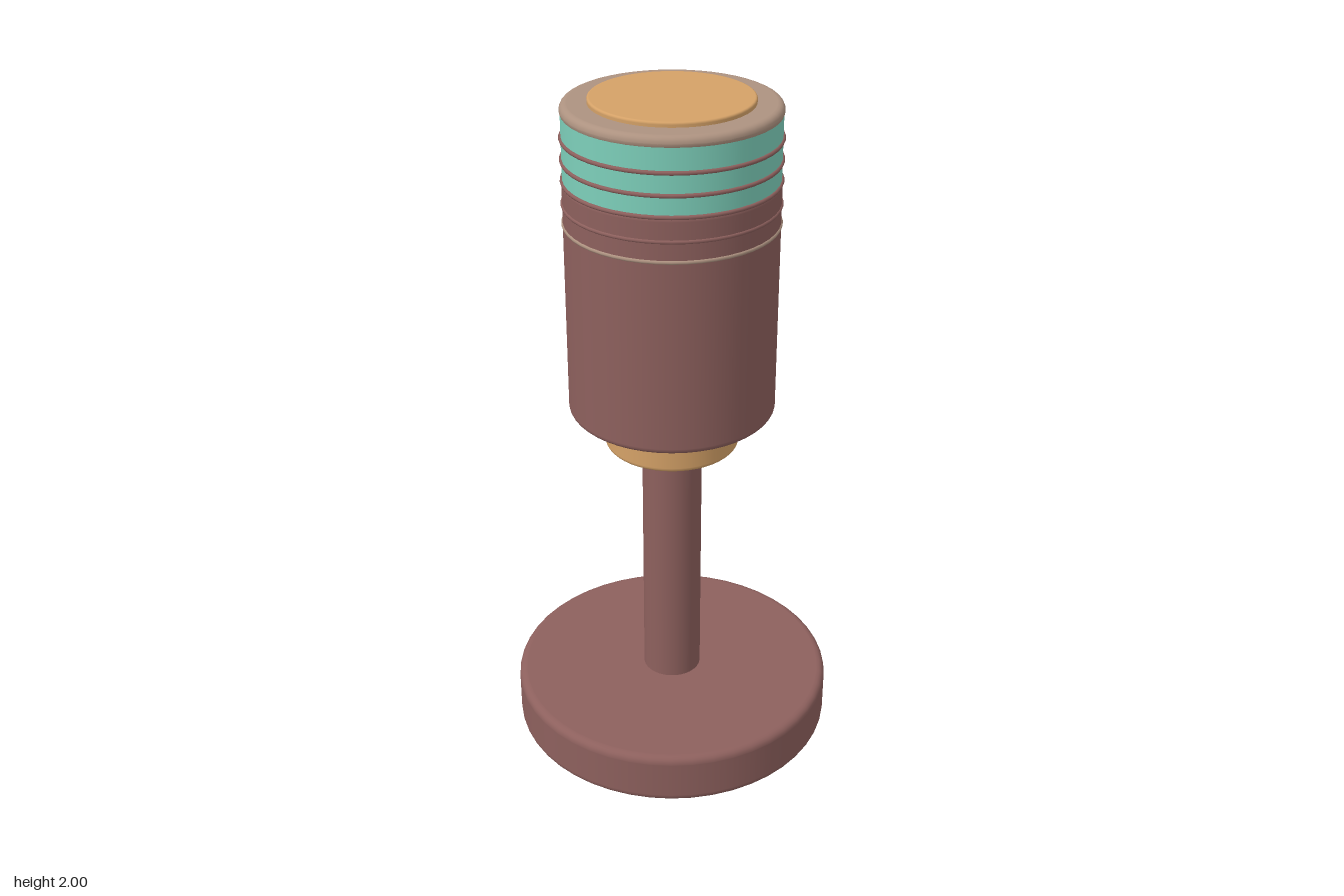
import * as THREE from 'three';

const mat = (name, color) => {
  const m = new THREE.MeshStandardMaterial({ color });
  m.name = name;
  return m;
};

// Solid disc from y0 to y1 with rounded rims
function roundedDisc(name, radius, y0, y1, bevel, material) {
  const e = bevel * 0.1, steps = 5;
  const pts = [new THREE.Vector2(0, y0), new THREE.Vector2(radius - bevel - e, y0)];
  for (const [cy, start] of [[y0 + bevel, -Math.PI / 2], [y1 - bevel, 0]]) {
    for (let i = 0; i <= steps; i++) {
      const a = start + (i / steps) * Math.PI / 2;
      pts.push(new THREE.Vector2(radius - bevel + Math.cos(a) * bevel, cy + Math.sin(a) * bevel));
    }
    // extra point keeps the straight wall evenly shaded
    if (start < 0) pts.push(new THREE.Vector2(radius, cy + e), new THREE.Vector2(radius, y1 - bevel - e));
  }
  pts.push(new THREE.Vector2(radius - bevel - e, y1), new THREE.Vector2(0, y1));
  const mesh = new THREE.Mesh(new THREE.LatheGeometry(pts, 48), material);
  mesh.name = name;
  return mesh;
}

export function createModel() {
  const brown = mat('brown', 0x8d605d);
  const gold = mat('gold', 0xd4a167);
  const teal = mat('teal', 0x7dcfba);
  const tan = mat('tan', 0xad9280);
  const model = new THREE.Group();
  model.name = 'microphone';

  // Stand
  model.add(roundedDisc('base', 0.483, 0, 0.162, 0.022, brown));
  const stem = new THREE.Mesh(new THREE.CylinderGeometry(0.088, 0.088, 0.84, 32), brown);
  stem.name = 'stem';
  stem.position.y = 0.56;
  model.add(stem);
  model.add(roundedDisc('collar', 0.195, 0.965, 1.1, 0.012, gold));

  // Body, coloured band and top
  model.add(roundedDisc('body', 0.298, 1.082, 1.78, 0.016, brown));
  const band = new THREE.Mesh(new THREE.CylinderGeometry(0.296, 0.296, 0.195, 48), teal);
  band.name = 'grilleBand';
  band.position.y = 1.8675;
  model.add(band);
  model.add(roundedDisc('topCap', 0.298, 1.948, 1.986, 0.018, tan));
  model.add(roundedDisc('topDisc', 0.225, 1.97, 2, 0.006, gold));

  // Thin raised rings
  const rings = [[1.652, tan], [1.708, brown], [1.774, brown], [1.832, brown], [1.892, brown]];
  rings.forEach(([y, material], i) => {
    const ring = new THREE.Mesh(new THREE.TorusGeometry(0.296, 0.006, 8, 48), material);
    ring.name = `ring${i + 1}`;
    ring.rotation.x = Math.PI / 2;
    ring.position.y = y;
    model.add(ring);
  });
  return model;
}
